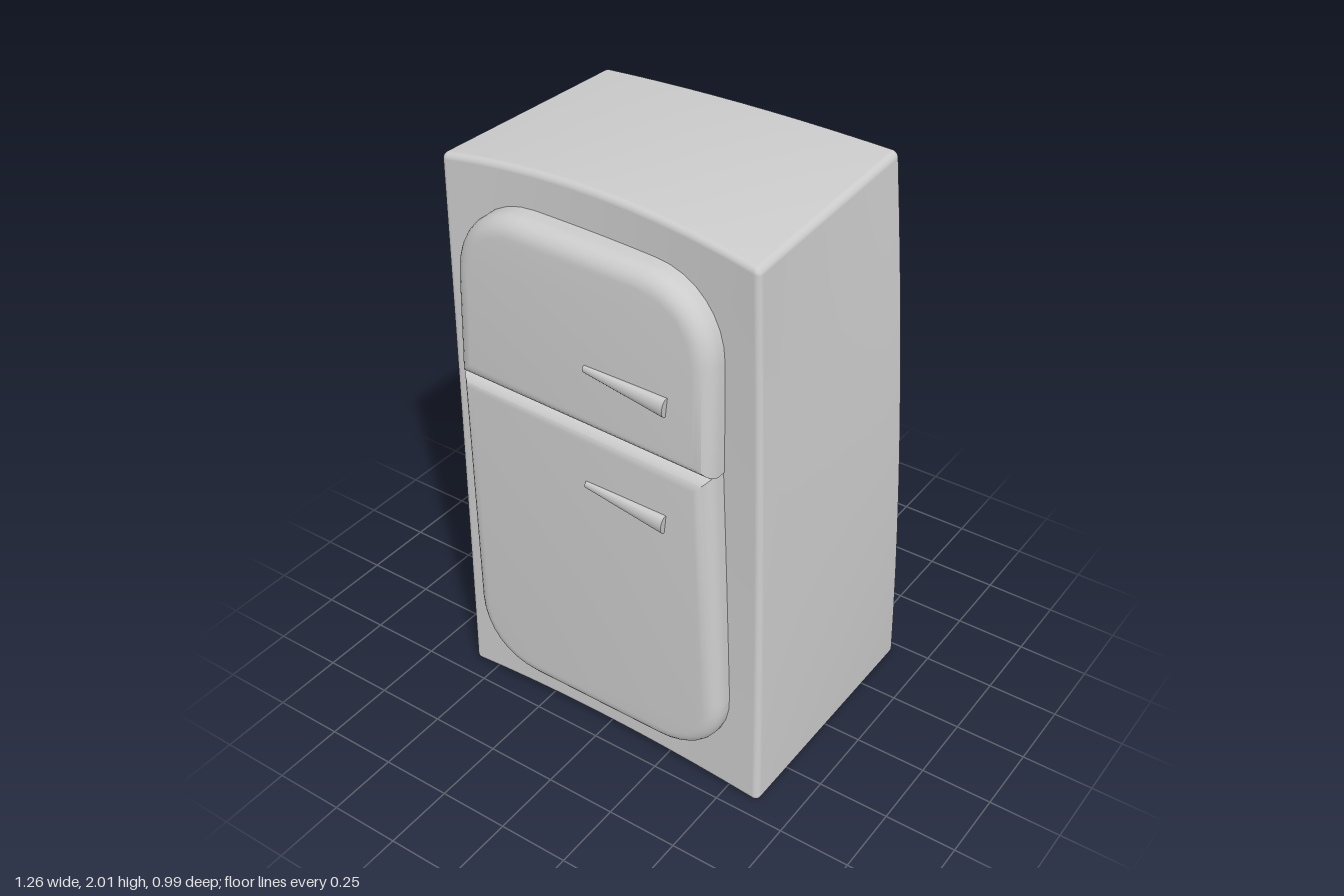
import * as THREE from 'three';
import { mergeVertices, toCreasedNormals } from 'three/addons/utils/BufferGeometryUtils.js';

const material = new THREE.MeshStandardMaterial({ color: 0xcccccc });

function addMesh(parent, name, geometry) {
  const mesh = new THREE.Mesh(geometry, material);
  mesh.name = name;
  parent.add(mesh);
  return mesh;
}

// Control points of the warped cabinet: [level][back, middle, front][left edge, centre, right edge]
const back = [
  [[-0.625, 0, -0.5], [0, 0.01, -0.41], [0.625, 0, -0.47]],
  [[-0.605, 1, -0.455], [0, 1, -0.385], [0.615, 1, -0.405]],
  [[-0.625, 1.955, -0.475], [-0.05, 2, -0.425], [0.53, 2.005, -0.395]],
];
const front = [
  [[-0.59, 0.005, 0.435], [0, 0.015, 0.425], [0.625, 0, 0.445]],
  [[-0.605, 1, 0.4], [0, 1, 0.375], [0.575, 1, 0.4]],
  [[-0.627, 1.975, 0.36], [-0.06, 2, 0.335], [0.525, 1.945, 0.372]],
];

// Quadratic through three values at t = -1, 0, 1
const quad = (a, b, c, t) => b + (c - a) * t / 2 + (a + c - 2 * b) * t * t / 2;

function warp(u, v, w) {
  return [0, 1, 2].map((k) => {
    const side = (net) => {
      const rows = net.map((r) => quad(r[0][k], r[1][k], r[2][k], u));
      return quad(rows[0], rows[1], rows[2], v);
    };
    return THREE.MathUtils.lerp(side(back), side(front), (w + 1) / 2);
  });
}

// Rounded box with fine rows along its edges, bent by the control net
function cabinetGeometry() {
  const half = [0.61, 1, 0.43], r = 0.022, n = 16, edge = 3;
  const geo = new THREE.BoxGeometry(2, 2, 2, n, n, n);
  geo.deleteAttribute('uv');
  geo.deleteAttribute('normal');
  const pos = geo.attributes.position;
  for (let i = 0; i < pos.count; i++) {
    const p = [pos.getX(i), pos.getY(i), pos.getZ(i)].map((c, k) => {
      const step = Math.round(Math.abs(c) * n / 2), inner = n / 2 - edge;
      const d = step <= inner
        ? (half[k] - r) * step / inner
        : half[k] - r + r * Math.tan((step - inner) / edge * Math.PI / 4);
      return Math.sign(c) * d;
    });
    const core = p.map((c, k) => THREE.MathUtils.clamp(c, r - half[k], half[k] - r));
    const out = new THREE.Vector3(...p.map((c, k) => c - core[k])).setLength(r);
    const q = out.toArray().map((c, k) => (core[k] + c) / half[k]);
    pos.setXYZ(i, ...warp(...q));
  }
  const merged = mergeVertices(geo, 1e-5);
  merged.computeVertexNormals();
  return merged;
}

// Rounded outline from corners [x, y, radius]; radius 0 stays sharp
function outline(corners) {
  const shape = new THREE.Shape();
  const pts = corners.map(([x, y]) => new THREE.Vector2(x, y));
  corners.forEach(([, , r], i) => {
    const p = pts[i], n = pts.length;
    const toward = (q) => q.clone().sub(p).setLength(r).add(p);
    const a = r ? toward(pts[(i + n - 1) % n]) : p;
    if (i === 0) shape.moveTo(a.x, a.y); else shape.lineTo(a.x, a.y);
    if (r) {
      const b = toward(pts[(i + 1) % n]);
      const c1 = a.clone().lerp(p, 0.6), c2 = b.clone().lerp(p, 0.6);
      shape.bezierCurveTo(c1.x, c1.y, c2.x, c2.y, b.x, b.y);
    }
  });
  shape.closePath();
  return shape;
}

// Cushion-like door whose front leans with height
function doorGeometry(corners, frontAt, bevel) {
  const depth = 0.08;
  const geo = new THREE.ExtrudeGeometry(outline(corners), {
    depth, bevelEnabled: true, bevelSize: bevel, bevelThickness: bevel,
    bevelSegments: 6, curveSegments: 8,
  });
  const pos = geo.attributes.position;
  for (let i = 0; i < pos.count; i++) {
    pos.setZ(i, pos.getZ(i) - depth - bevel + frontAt(pos.getY(i)));
  }
  return toCreasedNormals(geo, 0.6);
}

// Tapered handle lying across a door
function addHandle(parent, name, x, y, z) {
  const length = 0.3;
  const geo = new THREE.CylinderGeometry(0.034, 0.012, length, 16);
  geo.rotateZ(-Math.PI / 2 - 0.085);
  geo.scale(1, 1, 0.62);
  addMesh(parent, name, geo).position.set(x, y, z);
}

export function createModel() {
  const group = new THREE.Group();
  group.name = 'refrigerator';

  addMesh(group, 'cabinet', cabinetGeometry());

  // Doors, with sharp inner corners along the seam
  addMesh(group, 'freezerDoor', doorGeometry([
    [-0.475, 1.325, 0], [0.37, 1.295, 0], [0.35, 1.795, 0.19], [-0.475, 1.82, 0.19],
  ], (y) => 0.465 - 0.05 * (y - 1.35), 0.06));
  addMesh(group, 'mainDoor', doorGeometry([
    [-0.445, 0.195, 0.19], [0.45, 0.19, 0.19], [0.375, 1.19, 0], [-0.475, 1.22, 0],
  ], (y) => 0.5 - 0.03 * (y - 0.15), 0.055));

  addHandle(group, 'freezerHandle', 0.127, 1.465, 0.464);
  addHandle(group, 'mainHandle', 0.13, 1.045, 0.477);
  return group;
}
